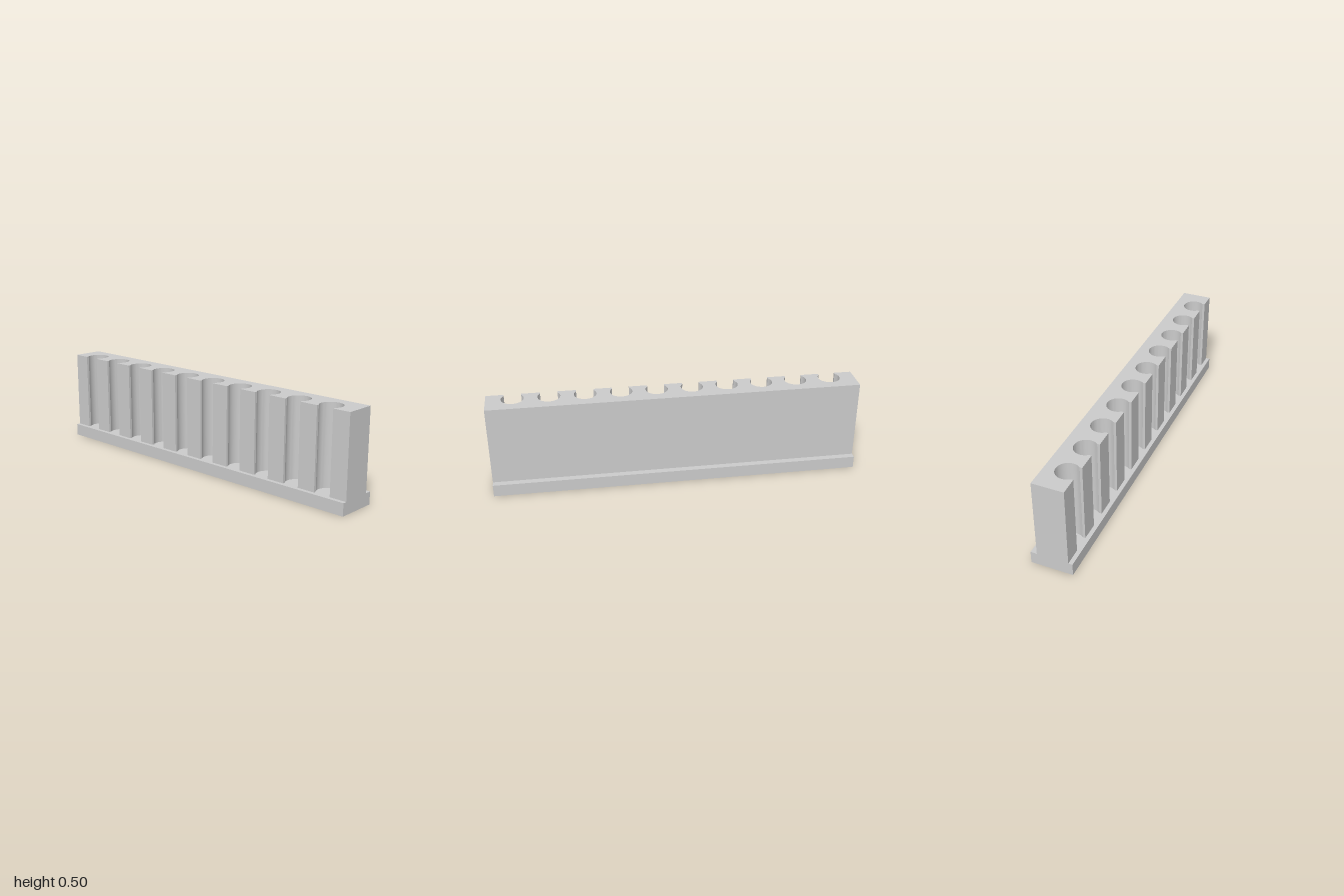
import * as THREE from 'three';
import { toCreasedNormals } from 'three/addons/utils/BufferGeometryUtils.js';

const BASE_H = 0.067, TOP = 0.502;
const BACK = -0.077, FRONT = 0.089;
const SLOTS = 10, PITCH = 0.191;
const RADIUS = 0.06, SLOT_Z = 0.037, HALF_MOUTH = 0.046;

export function createModel() {
  const group = new THREE.Group();
  group.name = 'slottedRack';
  const material = new THREE.MeshStandardMaterial({ color: 0xcccccc });

  // Base plinth
  const base = new THREE.Mesh(new THREE.BoxGeometry(2, BASE_H, 0.222), material);
  base.name = 'base';
  base.position.y = BASE_H / 2;
  group.add(base);

  // Wall plan (shape y becomes z), with round keyhole slots open at the front
  const plan = new THREE.Shape();
  plan.moveTo(-1, BACK);
  plan.lineTo(1, BACK);
  plan.lineTo(1, FRONT);
  const angle = Math.acos(HALF_MOUTH / RADIUS);
  for (let i = SLOTS - 1; i >= 0; i--) {
    const x = (i - (SLOTS - 1) / 2) * PITCH;
    plan.lineTo(x + HALF_MOUTH, FRONT);
    plan.absarc(x, SLOT_Z, RADIUS, angle, Math.PI - angle, true);
    plan.lineTo(x - HALF_MOUTH, FRONT);
  }
  plan.lineTo(-1, FRONT);
  plan.closePath();

  // Slotted wall standing on the base
  const wallGeometry = new THREE.ExtrudeGeometry(plan, {
    depth: TOP - BASE_H, bevelEnabled: false, curveSegments: 16,
  });
  wallGeometry.rotateX(Math.PI / 2);
  wallGeometry.translate(0, TOP, 0);
  const wall = new THREE.Mesh(toCreasedNormals(wallGeometry, 0.6), material);
  wall.name = 'slottedWall';
  group.add(wall);

  return group;
}
